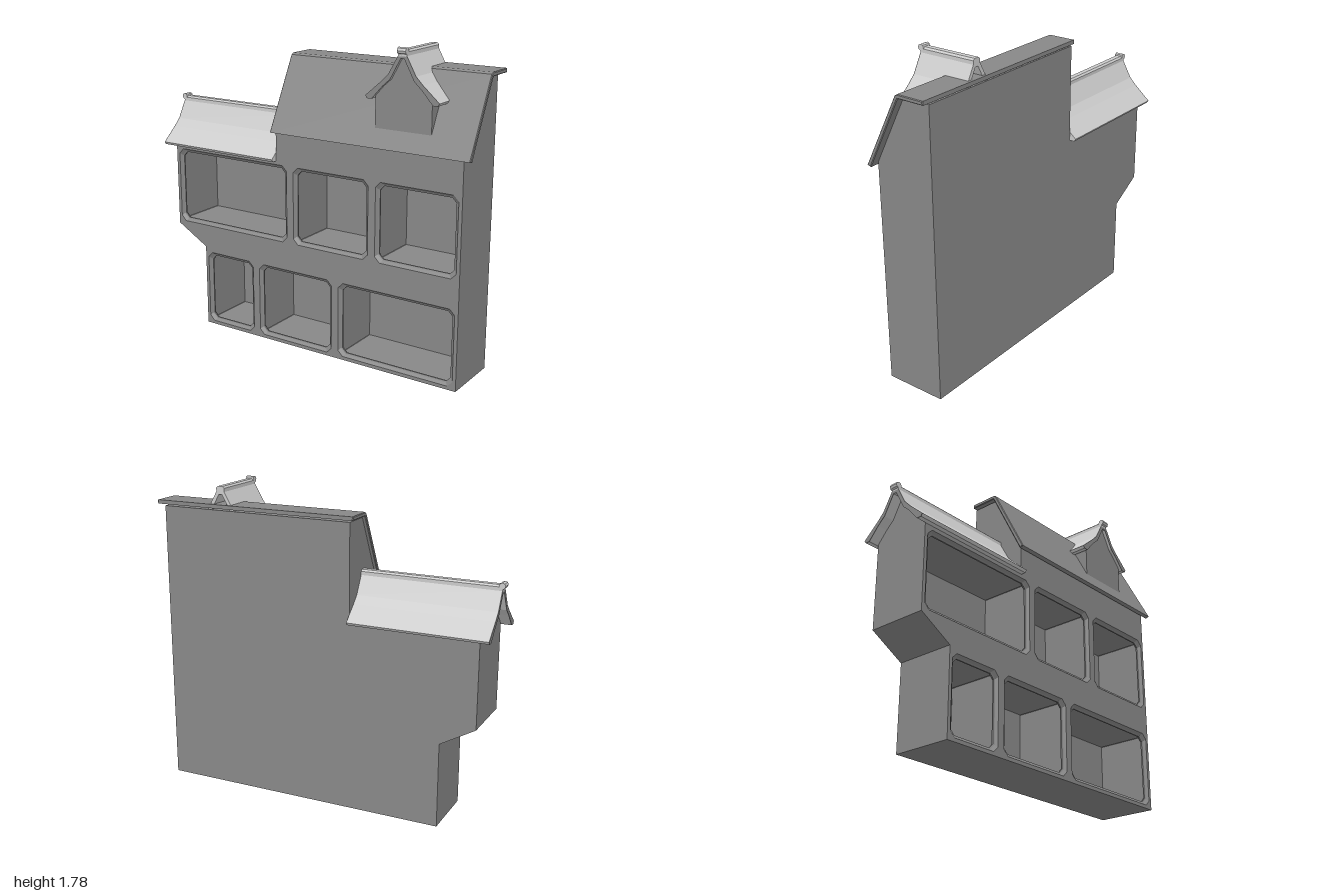
import * as THREE from 'three';

const light = new THREE.MeshStandardMaterial({ color: 0xcccccc, flatShading: true });
const dark = new THREE.MeshStandardMaterial({ color: 0x888888, flatShading: true });
const FRONT = 0.175, BACK = -0.175;

function part(parent, name, geometry, material = dark) {
  const mesh = new THREE.Mesh(geometry, material);
  mesh.name = name;
  parent.add(mesh);
}

const toShape = (pts) => new THREE.Shape(pts.map(([x, y]) => new THREE.Vector2(x, y)));
const flip = ([x, y]) => [-x, y];

// Extrude a [z, y] profile along x, with an optional bevel at both ends
function alongX(profile, x0, x1, bevel = 0) {
  return new THREE.ExtrudeGeometry(toShape(profile.map(flip)), {
    depth: x1 - x0 - 2 * bevel, bevelEnabled: bevel > 0, bevelSegments: 1,
    bevelSize: bevel, bevelThickness: bevel, bevelOffset: -bevel,
  }).rotateY(Math.PI / 2).translate(x0 + bevel, 0, 0);
}

// Skin a series of closed rings, each { pts: [x, y][], z }
function loft(rings) {
  const pos = [], n = rings[0].pts.length;
  for (let r = 0; r + 1 < rings.length; r++) {
    for (let i = 0; i < n; i++) {
      const j = (i + 1) % n, A = rings[r], B = rings[r + 1];
      const a = [...A.pts[i], A.z], b = [...A.pts[j], A.z];
      const c = [...B.pts[j], B.z], d = [...B.pts[i], B.z];
      pos.push(...a, ...b, ...c, ...a, ...c, ...d);
    }
  }
  const g = new THREE.BufferGeometry();
  g.setAttribute('position', new THREE.Float32BufferAttribute(pos, 3));
  g.computeVertexNormals();
  return g;
}

// Rectangle with cut corners, shrunk by an inset
function cutRect([x0, y0, x1, y1], inset, c) {
  const l = x0 + inset, r = x1 - inset, b = y0 + inset, t = y1 - inset;
  return [[l + c, b], [r - c, b], [r, b + c], [r, t - c],
    [r - c, t], [l + c, t], [l, t - c], [l, b + c]];
}

// Flared roof along x with eaves at y = 0; x0 is the free end
function flaredRoof(x0, x1) {
  const roof = new THREE.Group();
  roof.name = 'flaredRoof';
  const outer = [[0.215, 0.01], [0.12, 0.092], [0.08, 0.132], [0.025, 0.23]];
  const inner = [[0.205, -0.005], [0.178, -0.005], [0.115, 0.065], [0.07, 0.105], [0.01, 0.215]];
  const profile = [...outer, ...outer.map(flip).reverse(), ...inner.map(flip), ...[...inner].reverse()];
  part(roof, 'tiles', alongX(profile, x0 + 0.004, x1), light);
  part(roof, 'gableBoard', alongX(profile, x0, x0 + 0.004));
  part(roof, 'ridgeCap', alongX(
    [[0.025, 0.225], [0.025, 0.25], [0.015, 0.26], [-0.015, 0.26], [-0.025, 0.25], [-0.025, 0.225]],
    x0, x1), light);
  part(roof, 'ridgeRoll', new THREE.CylinderGeometry(0.018, 0.018, 0.05, 8)
    .rotateX(Math.PI / 2).translate(x0 + 0.003, 0.255, 0), light);
  return roof;
}

// Gable wall outline under a flared roof
function gable(halfWidth, bottom) {
  const side = [[halfWidth, bottom], [halfWidth, 0.015], [0.115, 0.072], [0.07, 0.11], [0.01, 0.22]];
  return [...side, ...side.map(flip).reverse()];
}

export function createModel() {
  const house = new THREE.Group();
  house.name = 'house';

  const rooms = [
    [-0.91, 0.62, -0.13, 1.065], [-0.085, 0.62, 0.4, 1.065], [0.445, 0.62, 0.93, 1.065],
    [-0.71, 0.02, -0.375, 0.455], [-0.33, 0.02, 0.17, 0.455], [0.215, 0.02, 0.93, 0.455],
  ];

  // Main walls with room openings
  const outline = [[-0.73, 0], [0.95, 0], [0.95, 1.26], [-0.2, 1.26],
    [-0.2, 1.09], [-0.93, 1.09], [-0.93, 0.6], [-0.73, 0.485]];
  const front = toShape(outline);
  front.holes = rooms.map((r) => new THREE.Path(cutRect(r, 0, 0.03).map((p) => new THREE.Vector2(...p))));
  part(house, 'frontWall', new THREE.ShapeGeometry(front).translate(0, 0, FRONT));
  part(house, 'backWall', new THREE.ShapeGeometry(toShape(outline.map(flip)))
    .rotateY(Math.PI).translate(0, 0, BACK));
  part(house, 'sideWalls', loft([{ pts: outline, z: BACK }, { pts: outline, z: FRONT }]));

  // Rooms: stepped frame at the opening, then a square box behind it
  rooms.forEach((r) => {
    const room = new THREE.Group();
    room.name = 'room';
    const box = cutRect(r, 0.012, 0.002);
    part(room, 'roomFrame', loft([
      { pts: cutRect(r, 0, 0.03), z: FRONT },
      { pts: cutRect(r, 0.012, 0.03), z: 0.162 },
      { pts: cutRect(r, 0.02, 0.025), z: 0.158 },
      { pts: cutRect(r, 0.02, 0.025), z: 0.15 },
      { pts: box, z: 0.15 },
    ]));
    part(room, 'roomWalls', loft([{ pts: box, z: 0.15 }, { pts: box, z: -0.145 }]));
    part(room, 'roomBack', new THREE.ShapeGeometry(toShape(box)).translate(0, 0, -0.145));
    house.add(room);
  });

  // Attic and its sloped roof
  part(house, 'attic', alongX(
    [[FRONT, 1.25], [FRONT, 1.265], [-0.014, 1.633], [BACK, 1.633], [BACK, 1.25]], -0.2, 0.95));
  part(house, 'mainRoof', alongX(
    [[0.205, 1.25], [-0.005, 1.655], [-0.02, 1.664], [-0.18, 1.664], [-0.18, 1.642],
      [-0.022, 1.642], [0.182, 1.244]], -0.22, 0.998, 0.004));

  // Side wing
  const wing = new THREE.Group();
  wing.name = 'wing';
  wing.position.y = 1.09;
  part(wing, 'wingGable', alongX(gable(0.175, -0.01), -0.93, -0.2));
  wing.add(flaredRoof(-0.99, -0.2));
  house.add(wing);

  // Dormer, turned so its gable faces the front
  const dormer = new THREE.Group();
  dormer.name = 'dormer';
  dormer.position.set(0.59, 1.505, 0);
  dormer.rotation.y = Math.PI / 2;
  part(dormer, 'dormerWalls', alongX(gable(0.165, -0.16), -0.155, 0));
  dormer.add(flaredRoof(-0.174, 0.165));
  house.add(dormer);
  return house;
}
